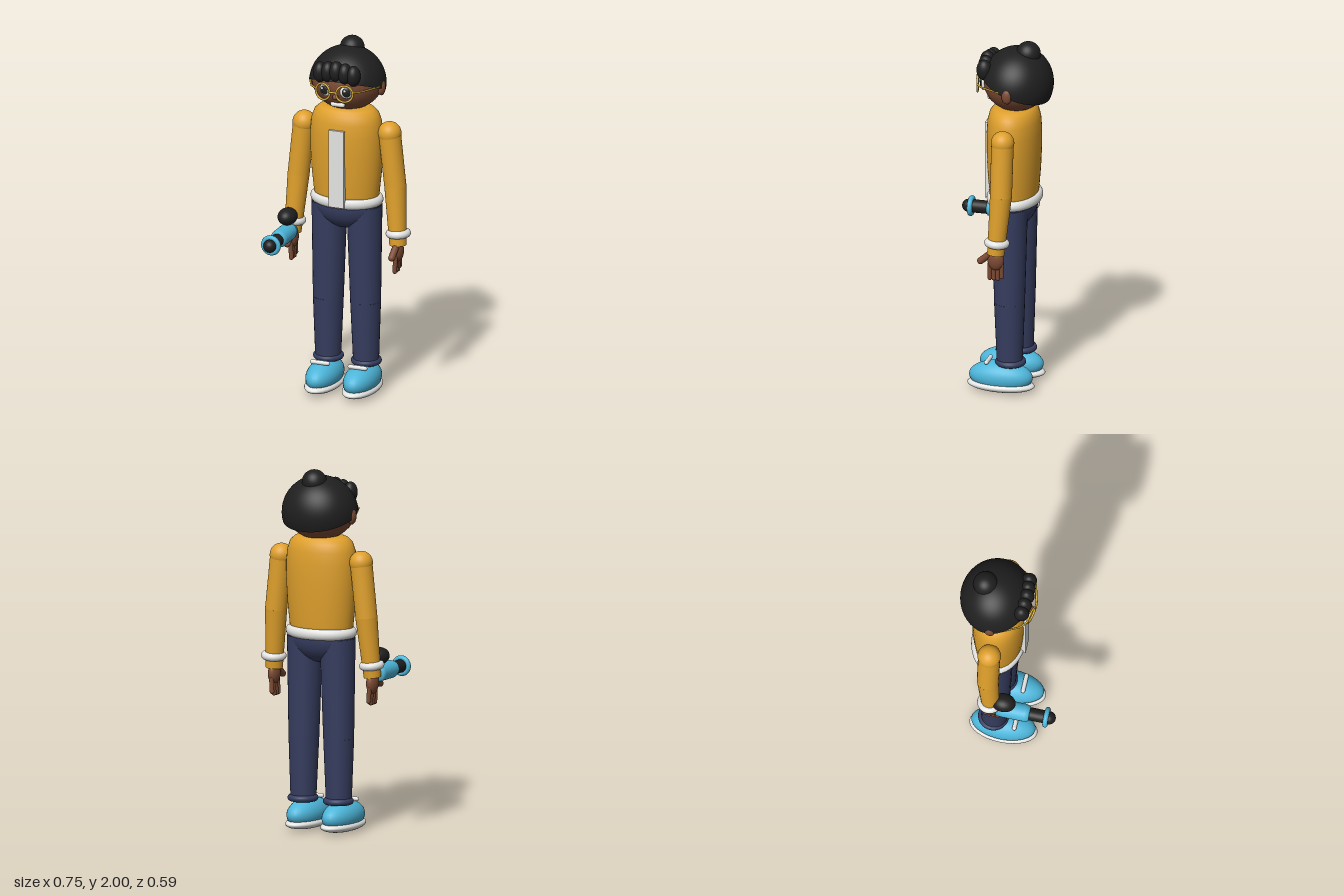
import * as THREE from 'three';

const mat = (name, color) => new THREE.MeshStandardMaterial({ name, color });

export function createModel() {
  const model = new THREE.Group();
  model.name = 'figure';
  const amber = mat('amber jumper', 0xdfa02c), navy = mat('navy trousers', 0x363d5f);
  const skin = mat('brown skin', 0x7c4a33), black = mat('black', 0x1f1f1f);
  const sky = mat('sky blue', 0x4db6da), white = mat('white', 0xe4e4e2);
  const gold = mat('gold frame', 0xd4ac34);
  const hair = new THREE.MeshStandardMaterial({ name: 'black hair', color: 0x1f1f1f, side: THREE.DoubleSide });

  const V = (x, y, z) => new THREE.Vector3(x, y, z);
  function add(name, geo, material, pos = [0, 0, 0], parent = model) {
    const m = new THREE.Mesh(geo, material);
    m.name = name;
    m.position.set(...pos);
    parent.add(m);
    return m;
  }
  function ball(name, material, pos, radii, parent) {
    const m = add(name, new THREE.SphereGeometry(1, 32, 20), material, pos, parent);
    m.scale.set(...radii);
    return m;
  }
  // Tapered round bar from a to b
  function limb(name, material, a, b, ra, rb, parent) {
    const p = V(...a), q = V(...b), d = q.clone().sub(p);
    const m = add(name, new THREE.CylinderGeometry(rb, ra, d.length(), 28), material, [0, 0, 0], parent);
    m.position.copy(p).lerp(q, 0.5);
    m.quaternion.setFromUnitVectors(V(0, 1, 0), d.normalize());
    return m;
  }
  function capsule(name, material, a, b, r, parent) {
    const p = V(...a), q = V(...b), d = q.clone().sub(p);
    const m = add(name, new THREE.CapsuleGeometry(r, d.length(), 6, 16), material, [0, 0, 0], parent);
    m.position.copy(p).lerp(q, 0.5);
    m.quaternion.setFromUnitVectors(V(0, 1, 0), d.normalize());
    return m;
  }
  // Ring lying flat, with separate x and z radii
  function ring(name, material, pos, r, tube, zScale = 1, parent) {
    const g = new THREE.TorusGeometry(r, tube, 14, 44).rotateX(Math.PI / 2);
    const m = add(name, g, material, pos, parent);
    m.scale.z = zScale;
    return m;
  }

  // Jumper, zip panel and waistband
  const profile = [[0, 1.08], [0.178, 1.08], [0.185, 1.14], [0.197, 1.25], [0.205, 1.38], [0.205, 1.48],
    [0.198, 1.55], [0.182, 1.595], [0.155, 1.62], [0.12, 1.632], [0, 1.636]];
  const torso = add('jumper', new THREE.LatheGeometry(profile.map(p => new THREE.Vector2(...p)), 48), amber, [0, 0, -0.085]);
  torso.scale.z = 0.71;
  add('zipPanel', new THREE.BoxGeometry(0.09, 0.44, 0.03), white, [0, 1.305, 0.054]);
  ring('waistband', white, [0, 1.1, -0.088], 0.176, 0.03, 0.72);
  ball('hips', navy, [0, 1.07, -0.085], [0.196, 0.14, 0.127]);

  // Legs and shoes
  for (const s of [1, -1]) {
    const leg = new THREE.Group();
    leg.name = s > 0 ? 'leftLeg' : 'rightLeg';
    model.add(leg);
    limb('thigh', navy, [s * 0.102, 1.07, -0.088], [s * 0.109, 0.52, -0.088], 0.098, 0.084, leg);
    limb('shin', navy, [s * 0.109, 0.52, -0.088], [s * 0.111, 0.16, -0.09], 0.084, 0.07, leg);
    ring('trouserCuff', navy, [s * 0.111, 0.175, -0.095], 0.066, 0.018, 1, leg);
    ball('sole', white, [s * 0.11, 0.037, -0.04], [0.094, 0.036, 0.188], leg);
    ball('shoeUpper', sky, [s * 0.11, 0.085, -0.04], [0.089, 0.085, 0.178], leg);
    capsule('shoeLace', white, [s * 0.11 - 0.045, 0.17, 0.03], [s * 0.11 + 0.045, 0.17, 0.03], 0.012, leg);
  }

  // Arms and hands
  for (const s of [1, -1]) {
    const arm = new THREE.Group();
    arm.name = s > 0 ? 'leftArm' : 'rightArm';
    model.add(arm);
    const elbow = [s * 0.283, 1.2, -0.088], wrist = [s * 0.308, 0.87, -0.066];
    ball('shoulder', amber, [s * 0.25, 1.498, -0.088], [0.064, 0.064, 0.064], arm);
    limb('upperSleeve', amber, [s * 0.25, 1.5, -0.088], elbow, 0.061, 0.06, arm);
    ball('elbow', amber, elbow, [0.06, 0.06, 0.06], arm);
    limb('lowerSleeve', amber, elbow, wrist, 0.06, 0.047, arm);
    const cuff = ring('sleeveCuff', white, [s * 0.307, 0.935, -0.072], 0.047, 0.022, 1, arm);
    cuff.rotation.set(-0.06, 0, s * 0.07);
    ball('palm', skin, [s * 0.308, 0.835, -0.066], [0.03, 0.058, 0.046], arm);
    for (let i = 0; i < 4; i++) {
      const z = -0.031 - i * 0.0225;
      capsule('finger', skin, [s * 0.307, 0.81, z], [s * 0.303, 0.727 + (i === 3 ? 0.012 : 0), z], 0.0125, arm);
    }
    capsule('thumb', skin, [s * 0.308, 0.865, -0.03], [s * 0.306, 0.822, 0.02], 0.019, arm);
  }

  // Torch device strapped to the right wrist
  const device = new THREE.Group();
  device.name = 'wristDevice';
  device.position.set(-0.31, 0.885, 0);
  model.add(device);
  ball('deviceMount', black, [0, 0.09, 0.005], [0.052, 0.047, 0.066], device);
  const shell = [[0, -0.03], [0.046, -0.03], [0.049, 0], [0.049, 0.125], [0.044, 0.145], [0.034, 0.152], [0, 0.152]];
  add('deviceBody', new THREE.LatheGeometry(shell.map(p => new THREE.Vector2(...p)), 32).rotateX(Math.PI / 2), sky, [0, 0, 0], device);
  limb('deviceBarrel', black, [0, 0, 0.13], [0, 0, 0.26], 0.036, 0.036, device);
  ball('deviceTip', black, [0, 0, 0.258], [0.036, 0.036, 0.036], device);
  add('deviceRing', new THREE.TorusGeometry(0.043, 0.014, 14, 36), sky, [0, 0, 0.243], device);

  // Head, ears, nose and mouth
  const head = new THREE.Group();
  head.name = 'head';
  model.add(head);
  limb('neck', skin, [0, 1.58, -0.09], [0, 1.68, -0.09], 0.07, 0.07, head);
  ball('skull', skin, [0, 1.775, -0.1], [0.2, 0.168, 0.182], head);
  ball('nose', skin, [0, 1.722, 0.075], [0.018, 0.016, 0.018], head);
  capsule('mouth', white, [-0.028, 1.67, 0.044], [0.028, 1.67, 0.044], 0.014, head);

  // Tilted hair cap, bun and fringe
  const cap = add('hairCap', new THREE.SphereGeometry(1, 48, 24, 0, Math.PI * 2, 0, Math.PI * 0.52), hair, [0, 1.755, -0.1], head);
  cap.scale.set(0.212, 0.206, 0.198);
  cap.rotation.x = -0.36;
  ball('hairBun', black, [0, 1.932, -0.163], [0.068, 0.068, 0.068], head);
  for (let i = -2; i <= 2; i++) {
    ball('fringeLock', black, [i * 0.049, 1.866 - Math.abs(i) * 0.008, 0.066 - Math.abs(i) * 0.004], [0.038, 0.058, 0.042], head);
  }

  // Ears, eyes and glasses
  for (const s of [1, -1]) {
    const side = s > 0 ? 'left' : 'right';
    ball(side + 'Ear', skin, [s * 0.198, 1.748, -0.097], [0.022, 0.043, 0.03], head);
    const eye = new THREE.Group();
    eye.name = side + 'Eye';
    eye.position.set(s * 0.062, 1.757, 0.07);
    eye.rotation.y = s * 0.25;
    head.add(eye);
    ball('eyeWhite', white, [0, 0, 0], [0.036, 0.037, 0.016], eye);
    ball('pupil', black, [0, 0, 0.012], [0.024, 0.026, 0.008], eye);
    ball('eyeGlint', white, [-0.008, 0.01, 0.018], [0.007, 0.007, 0.004], eye);
    const lens = add('glassesRim', new THREE.TorusGeometry(0.046, 0.006, 10, 40), gold, [s * 0.063, 1.757, 0.104], head);
    lens.rotation.y = s * 0.25;
    capsule('glassesTemple', gold, [s * 0.108, 1.767, 0.093], [s * 0.148, 1.767, 0.06], 0.005, head);
    capsule('glassesTemple', gold, [s * 0.148, 1.767, 0.06], [s * 0.202, 1.767, -0.05], 0.005, head);
  }
  capsule('glassesBridge', gold, [-0.02, 1.762, 0.118], [0.02, 1.762, 0.118], 0.006, head);
  return model;
}
